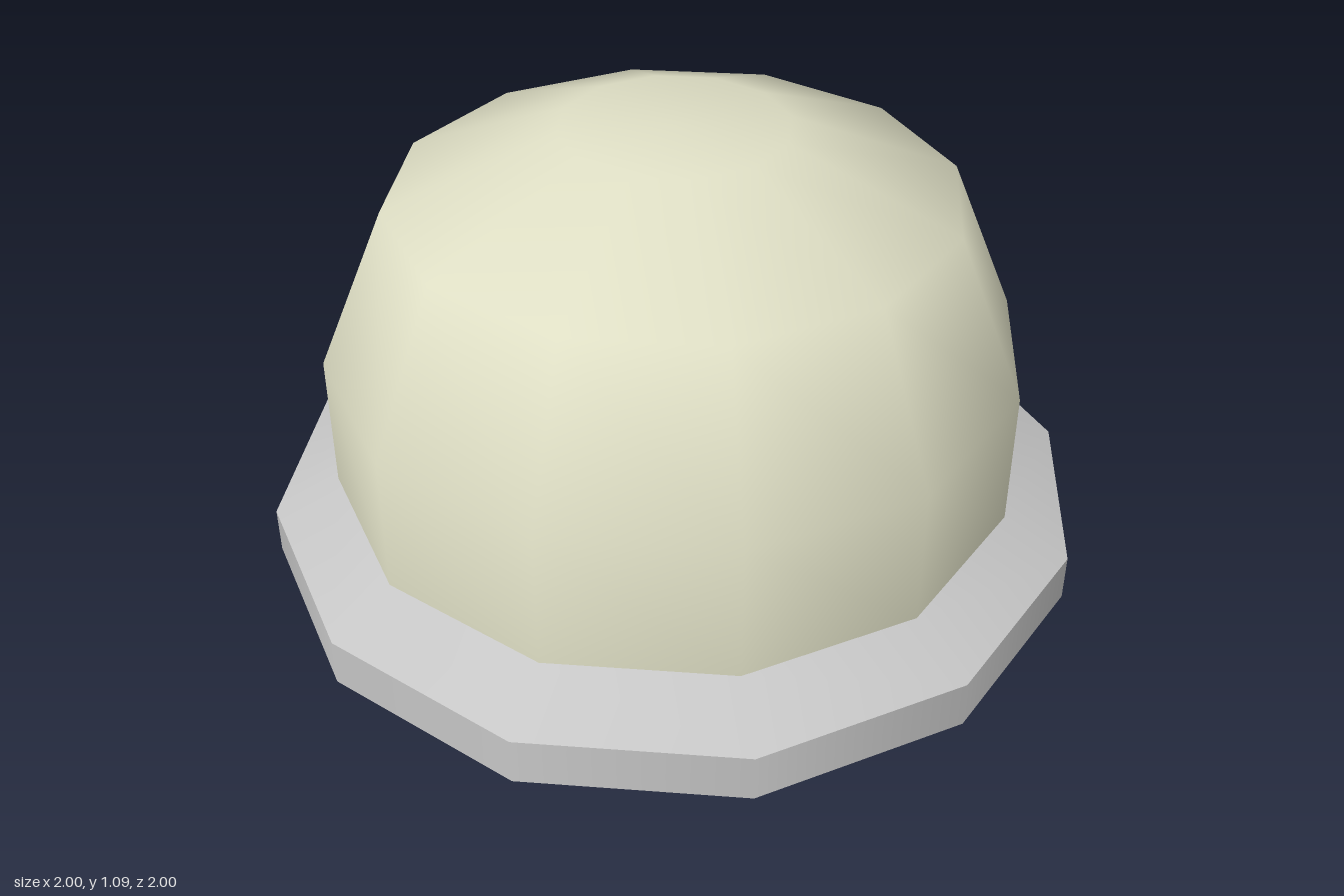
import * as THREE from 'three';

const SIDES = 12;

// Open twelve-sided shell of revolution from [radius, height] pairs, bottom to top
function shell(name, profile, material) {
  const points = profile.map(([r, y]) => new THREE.Vector2(r, y));
  const mesh = new THREE.Mesh(new THREE.LatheGeometry(points, SIDES), material);
  mesh.name = name;
  return mesh;
}

export function createModel() {
  const cream = new THREE.MeshStandardMaterial({ color: 0xdfdfc5, side: THREE.DoubleSide });
  cream.name = 'cream';
  const grey = new THREE.MeshStandardMaterial({ color: 0xc6c6c6, side: THREE.DoubleSide });
  grey.name = 'light grey';

  const model = new THREE.Group();
  model.name = 'domedCover';

  // Base: upright rim and sloping collar, kept apart for a sharp edge
  const base = new THREE.Group();
  base.name = 'base';
  base.add(
    shell('rim', [[1, 0], [1, 0.117]], grey),
    shell('collar', [[1, 0.117], [0.84, 0.2]], grey),
  );

  // Hollow dome: straight wall, rounded shoulder and flat crown
  const dome = shell('dome', [
    [0.84, 0.2], [0.84, 0.54], [0.674, 0.93], [0.27, 1.092], [0, 1.092],
  ], cream);

  model.add(base, dome);
  return model;
}
